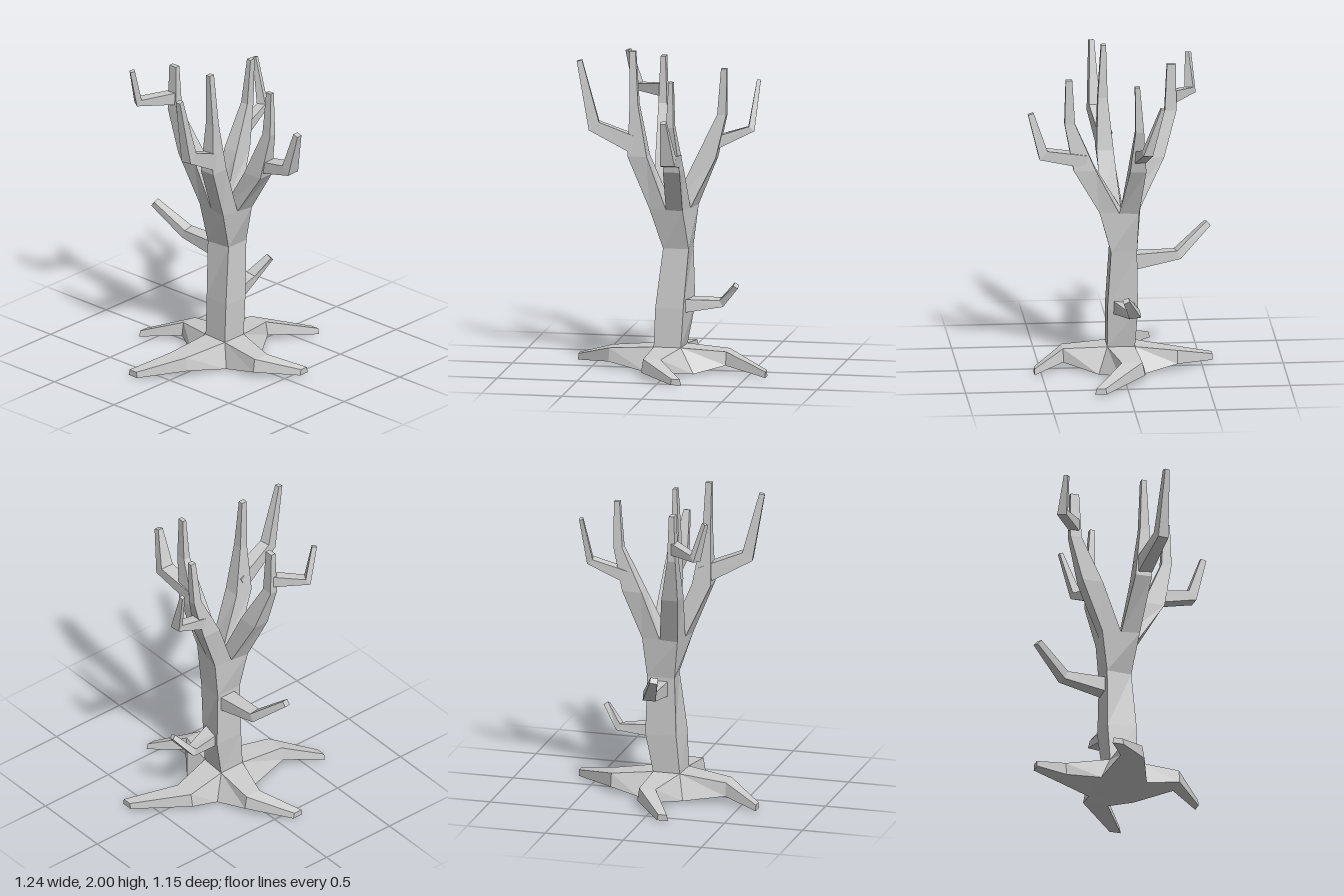
import * as THREE from 'three';

const V = (x, y, z) => new THREE.Vector3(x, y, z);
const mid = (a, b) => a.clone().lerp(b, 0.5);
const material = new THREE.MeshStandardMaterial({ color: 0xcccccc, flatShading: true });

// Faceted limb through four-cornered rings, closed at both ends
function loft(name, rings) {
  const pos = [];
  const quad = (a, b, c, d) => [a, b, c, a, c, d].forEach(p => pos.push(p.x, p.y, p.z));
  for (let s = 0; s < rings.length - 1; s++) {
    const a = rings[s], b = rings[s + 1];
    for (let i = 0; i < 4; i++) {
      const j = (i + 1) % 4;
      quad(a[i], a[j], b[j], b[i]);
    }
  }
  quad(...rings[0].slice().reverse());
  quad(...rings[rings.length - 1]);
  const g = new THREE.BufferGeometry();
  g.setAttribute('position', new THREE.Float32BufferAttribute(pos, 3));
  g.computeVertexNormals();
  const mesh = new THREE.Mesh(g, material);
  mesh.name = name;
  return mesh;
}

// Level ring from four x,z corners, in the order ++, +-, --, -+
const level = (y, corners) => corners.map(([x, z]) => V(x, y, z));
const box = ([x, y, z, a, b]) =>
  level(y, [[x + a, z + b], [x + a, z - b], [x - a, z - b], [x - a, z + b]]);

// Bent twig: each section is x, y, z, half width, half depth, square to the path
function twig(name, sections) {
  const pts = sections.map(s => V(s[0], s[1], s[2]));
  const heading = pts[1].clone().sub(pts[0]);
  const side = V(heading.z, 0, -heading.x).normalize();
  const dir = i => pts[i + 1].clone().sub(pts[i]).normalize();
  const rings = pts.map((p, i) => {
    const t = V(0, 0, 0);
    if (i > 0) t.add(dir(i - 1));
    if (i < pts.length - 1) t.add(dir(i));
    t.normalize();
    const u = side.clone().addScaledVector(t, -side.dot(t)).normalize();
    const v = t.clone().cross(u);
    const [, , , a, b] = sections[i];
    return [[1, 1], [-1, 1], [-1, -1], [1, -1]].map(([m, n]) =>
      p.clone().addScaledVector(u, m * a).addScaledVector(v, n * b));
  });
  return loft(name, rings);
}

export function createModel() {
  const tree = new THREE.Group();
  tree.name = 'bareTree';

  // Flared foot and twisting square trunk
  const ground = level(0.005, [[0.16, 0.15], [0.16, -0.14], [-0.13, -0.15], [-0.14, 0.14]]);
  const collar = level(0.155, [[0.07, 0.09], [0.08, -0.08], [-0.09, -0.08], [-0.1, 0.09]]);
  const crown = level(1.02, [[0.09, 0.14], [0.145, -0.1], [-0.09, -0.13], [-0.125, 0.1]]);
  tree.add(loft('foot', [ground, collar]));
  tree.add(loft('trunk', [
    collar,
    level(0.4, [[0.085, 0.09], [0.125, -0.095], [-0.07, -0.09], [-0.09, 0.09]]),
    level(0.77, [[0.115, 0.07], [0.115, -0.09], [-0.06, -0.09], [-0.045, 0.07]]),
    crown,
  ]));

  // Roots grow out of the four sides of the foot: knee x, z, half width; tip x, z, half width
  const roots = [
    ['rightwardRoot', [0.34, -0.04, 0.08], [0.62, 0.175, 0.036]],
    ['backRoot', [0.04, -0.34, 0.065], [-0.125, -0.572, 0.035]],
    ['leftwardRoot', [-0.39, -0.03, 0.077], [-0.62, -0.195, 0.036]],
    ['frontRoot', [-0.06, 0.355, 0.068], [0.125, 0.545, 0.033]],
  ];
  roots[0][0] = 'leftRoot';
  roots[2][0] = 'rightRoot';
  const lateral = [[0, -1], [-1, 0], [0, 1], [1, 0]];
  roots.forEach(([name, knee, tip], k) => {
    const n = (k + 1) % 4, [lx, lz] = lateral[k];
    const ring = ([x, z, w], low, high) =>
      [[-w, low], [w, low], [w * 0.8, high], [-w * 0.8, high]]
        .map(([s, y]) => V(x + lx * s, y, z + lz * s));
    tree.add(loft(name, [
      [ground[k], ground[n], collar[n], collar[k]],
      ring(knee, 0.045, 0.128),
      ring(tip, 0.01, 0.047),
    ]));
  });

  // Main branches, one from each quarter of the trunk top: x, y, z, half width, half depth
  const mains = [
    ['frontBranch', [0.05, 1.29, 0.23, 0.052, 0.068], [0.05, 1.58, 0.32, 0.023, 0.032], [0.055, 1.86, 0.325, 0.013, 0.02]],
    ['leftBranch', [0.2, 1.32, -0.085, 0.062, 0.05], [0.295, 1.59, -0.09, 0.028, 0.026], [0.31, 1.88, -0.075, 0.018, 0.015]],
    ['backBranch', [-0.08, 1.33, -0.205, 0.052, 0.065], [-0.115, 1.61, -0.315, 0.026, 0.036], [-0.115, 1.9, -0.32, 0.016, 0.027]],
    ['rightBranch', [-0.195, 1.35, 0.085, 0.06, 0.052], [-0.218, 1.67, 0.095, 0.026, 0.03], [-0.23, 2.0, 0.088, 0.019, 0.015]],
  ];
  const heart = V(0, 1.02, 0);
  const mids = crown.map((c, k) => mid(c, crown[(k + 1) % 4]));
  mains.forEach(([name, ...sections], k) => {
    const base = [];
    [crown[k], mids[k], heart, mids[(k + 3) % 4]].forEach((p, i) => { base[(k + i) % 4] = p; });
    tree.add(loft(name, [base, ...sections.map(box)]));
  });

  // Side twigs on the main branches, each with an upturned end
  tree.add(twig('frontTwig', [[0.055, 1.345, 0.22, 0.042, 0.04], [0.065, 1.395, 0.485, 0.045, 0.036], [0.05, 1.65, 0.56, 0.018, 0.018]]));
  tree.add(twig('leftTwig', [[0.22, 1.4, -0.09, 0.035, 0.04], [0.47, 1.5, -0.125, 0.03, 0.022], [0.5, 1.79, -0.215, 0.012, 0.012]]));
  tree.add(twig('backTwig', [[-0.11, 1.69, -0.31, 0.03, 0.04], [-0.3, 1.68, -0.452, 0.03, 0.024], [-0.36, 1.905, -0.445, 0.013, 0.015]]));
  tree.add(twig('rightTwig', [[-0.19, 1.405, 0.085, 0.045, 0.055], [-0.465, 1.535, 0.13, 0.034, 0.04], [-0.555, 1.94, 0.135, 0.015, 0.017]]));

  // Low twigs straight from the trunk
  tree.add(twig('lowLeftTwig', [[0.06, 0.41, 0, 0.06, 0.042], [0.3, 0.422, -0.06, 0.035, 0.023], [0.4, 0.54, 0.002, 0.02, 0.016]]));
  tree.add(twig('lowBackTwig', [[0.04, 0.695, -0.05, 0.055, 0.05], [0.025, 0.727, -0.345, 0.04, 0.028], [-0.06, 0.895, -0.538, 0.024, 0.019]]));

  return tree;
}
